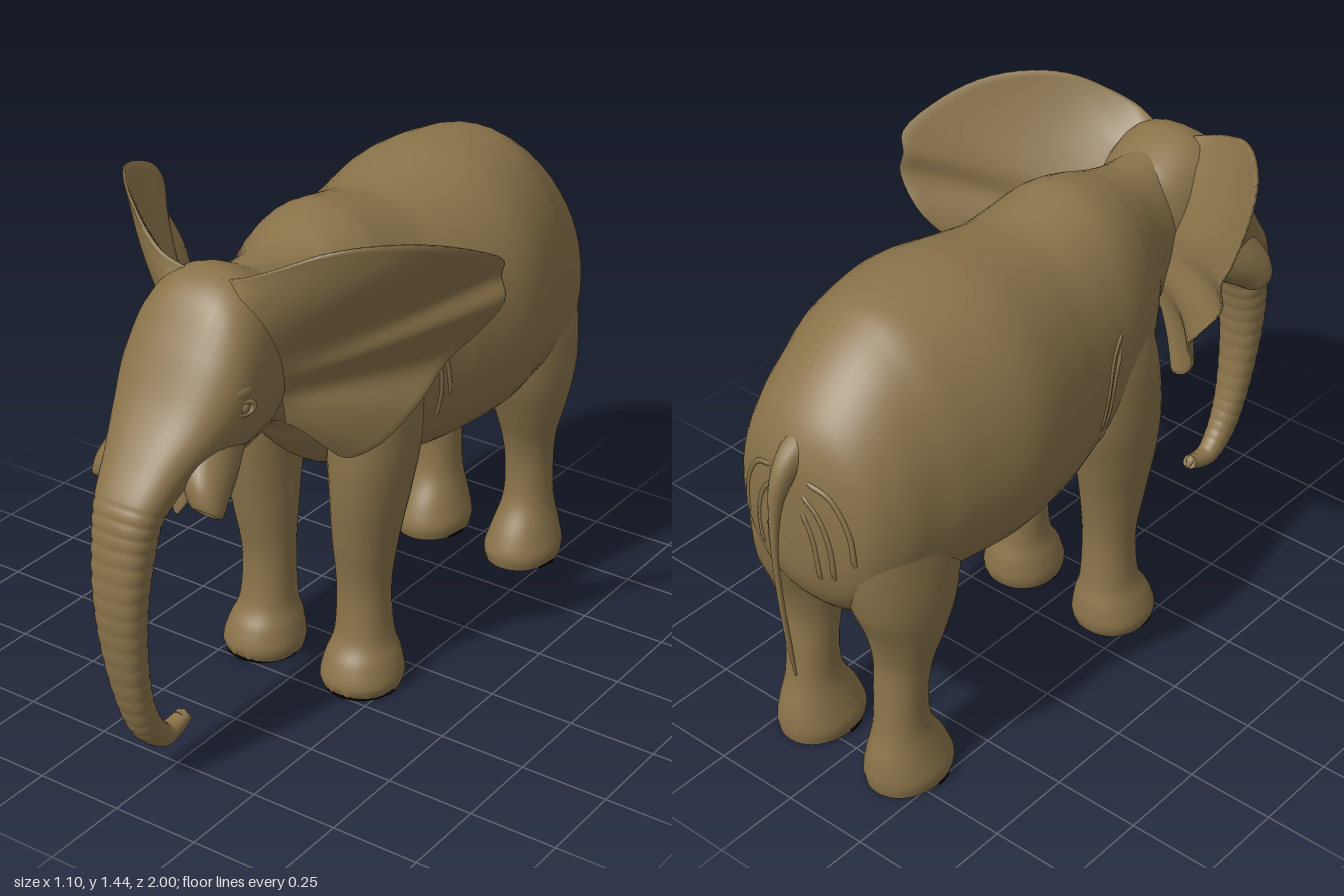
import * as THREE from 'three';

// Section: [frontZ, frontY, backZ, backY, halfWidth, centreX]; an oval ring spans both points.
function loft(sections, { steps = 64, sides = 32, power = 2, sag = 0, ripple = () => 1 } = {}) {
  const pos = [], idx = [];
  const sample = t => {
    const f = t * (sections.length - 1), i = Math.min(Math.floor(f), sections.length - 2), u = f - i;
    const at = k => sections[Math.max(0, Math.min(sections.length - 1, k))];
    const [p, a, b, n] = [at(i - 1), at(i), at(i + 1), at(i + 2)];
    return [0, 1, 2, 3, 4, 5].map(k => {
      const [w, x, y, z] = [p, a, b, n].map(s => s[k] || 0);
      return x + 0.5 * u * (y - w + u * (2 * w - 5 * x + 4 * y - z + u * (3 * (x - y) + z - w)));
    });
  };
  const round = v => Math.sign(v) * Math.pow(Math.abs(v), 2 / power);
  for (let r = 0; r <= steps; r++) {
    const [az, ay, bz, by, w, cx] = sample(r / steps), s = ripple(r / steps);
    for (let j = 0; j < sides; j++) {
      const a = j / sides * Math.PI * 2, c = round(Math.cos(a)) * s, q = round(Math.sin(a)) * s;
      pos.push(cx + w * q * (1 - sag * c), (ay + by) / 2 + (ay - by) / 2 * c, (az + bz) / 2 + (az - bz) / 2 * c);
    }
  }
  // Ring direction decides the corner order
  const m = sample(0.5), d = sample(0.52);
  const dy = d[1] + d[3] - m[1] - m[3], dz = d[0] + d[2] - m[0] - m[2];
  const flip = (m[0] - m[2]) * dy - (m[1] - m[3]) * dz < 0;
  const tri = (a, b, c) => flip ? idx.push(a, c, b) : idx.push(a, b, c);
  for (let r = 0; r < steps; r++) for (let j = 0; j < sides; j++) {
    const k = (j + 1) % sides, a = r * sides + j, b = r * sides + k;
    tri(a, b, b + sides); tri(a, b + sides, a + sides);
  }
  // End caps with their own corners, for a crisp edge
  for (const r of [0, steps]) {
    const base = pos.length / 3, [az, ay, bz, by, , cx] = sample(r / steps);
    for (let j = 0; j < sides; j++) pos.push(...pos.slice((r * sides + j) * 3, (r * sides + j) * 3 + 3));
    pos.push(cx, (ay + by) / 2, (az + bz) / 2);
    for (let j = 0; j < sides; j++) {
      const a = base + j, b = base + (j + 1) % sides;
      r ? tri(a, b, base + sides) : tri(b, a, base + sides);
    }
  }
  return finish(pos, idx);
}

function finish(pos, idx) {
  const g = new THREE.BufferGeometry();
  g.setAttribute('position', new THREE.Float32BufferAttribute(pos, 3));
  g.setIndex(idx);
  g.computeVertexNormals();
  return g;
}

const curve = pts => new THREE.CatmullRomCurve3(pts.map(p => new THREE.Vector3(...p)));

// Ear: front and back sheets between the root line and the rim, thick where it joins the crown
function earGeometry(side) {
  const root = curve([[.04, 1.26, .56], [.1, 1.2, .53], [.12, 1.08, .47], [.12, .98, .42], [.12, .9, .41]]);
  const rim = curve([[.05, 1.325, .57], [.13, 1.355, .58], [.21, 1.39, .55], [.29, 1.425, .5], [.37, 1.44, .43],
    [.46, 1.43, .32], [.52, 1.39, .2], [.55, 1.33, .09], [.535, 1.28, .075], [.545, 1.22, .07], [.48, 1.12, .07],
    [.41, 1.03, .12], [.37, .92, .2], [.29, .81, .27], [.22, .78, .31], [.18, .86, .37]]);
  const nu = 18, nv = 56, pos = [], idx = [];
  for (const face of [1, -1]) for (let i = 0; i <= nv; i++) for (let j = 0; j <= nu; j++) {
    const v = i / nv, u = j / nu, p = root.getPoint(v).lerp(rim.getPoint(v), u);
    const bulge = .022 * Math.sin(Math.PI * u) * Math.sin(Math.PI * v);
    const wave = .01 * u * (1 - u) * Math.sin(v * 24) * Math.sin(Math.PI * v);
    const thick = face * (.004 + .018 * (1 - u) + .045 * (1 - v) * (1 - u) ** 2);
    pos.push(side * (p.x + thick * .4 + bulge * .5), p.y, p.z + bulge + wave + thick);
  }
  const row = nu + 1, sheet = row * (nv + 1);
  const quad = (a, b, c, d, f) => f > 0 ? idx.push(a, b, c, a, c, d) : idx.push(a, c, b, a, d, c);
  for (let i = 0; i < nv; i++) {
    for (let j = 0; j < nu; j++) {
      const a = i * row + j;
      quad(a, a + row, a + row + 1, a + 1, side);
      quad(a + sheet, a + sheet + row, a + sheet + row + 1, a + sheet + 1, -side);
    }
    const e = i * row + nu;
    quad(e, e + row, e + row + sheet, e + sheet, side);
  }
  for (let j = 0; j < nu; j++) {
    const e = nv * row + j;
    quad(j, j + 1, j + 1 + sheet, j + sheet, -side);
    quad(e, e + 1, e + 1 + sheet, e + sheet, side);
  }
  return finish(pos, idx);
}

export function createModel() {
  const model = new THREE.Group();
  model.name = 'elephant';
  const hide = new THREE.MeshStandardMaterial({ color: 0x8a734a, side: THREE.DoubleSide });
  hide.name = 'brown hide';
  const black = new THREE.MeshStandardMaterial({ color: 0x060504 });
  black.name = 'black sole';
  const add = (name, geometry, material = hide) => {
    const mesh = new THREE.Mesh(geometry, material);
    mesh.name = name;
    model.add(mesh);
    return mesh;
  };

  // Body: z, top, bottom, half width
  const body = add('body', loft([
    [-.935, 1.02, .82, .04], [-.922, 1.08, .7, .12], [-.88, 1.16, .61, .215], [-.8, 1.245, .54, .265],
    [-.7, 1.32, .53, .29], [-.6, 1.362, .545, .32], [-.4, 1.375, .55, .362], [-.2, 1.345, .555, .33],
    [-.1, 1.335, .57, .305], [0, 1.35, .6, .285], [.1, 1.365, .62, .272], [.19, 1.35, .66, .245],
    [.27, 1.325, .74, .2], [.36, 1.31, .84, .15], [.5, 1.315, .88, .13],
  ].map(([z, t, b, w]) => [z, t, z, b, w]), { steps: 90, sides: 48, power: 2.1, sag: .06 }));

  // Head flowing into the ringed trunk
  add('headAndTrunk', loft([
    [.36, 1.26, .42, .9, .1], [.44, 1.31, .45, .87, .15], [.55, 1.345, .51, .86, .172], [.64, 1.31, .56, .86, .182],
    [.72, 1.2, .62, .87, .182], [.8, 1.065, .69, .88, .155], [.885, .955, .77, .85, .118], [.96, .85, .835, .79, .094],
    [.988, .74, .86, .71, .083], [1, .6, .885, .59, .073], [.988, .45, .89, .45, .062], [.955, .29, .872, .31, .05],
    [.905, .165, .84, .215, .041], [.83, .095, .795, .15, .033], [.765, .092, .765, .142, .028],
    [.705, .115, .725, .15, .022],
  ], {
    steps: 260, sides: 36, power: 2.4, sag: -.07,
    ripple: t => t > .46 && t < .88 ? 1 - .035 * Math.pow(Math.abs(Math.cos((t - .46) * 140)), 6) : 1,
  }));
  add('trunkTip', loft([[.74, .15, .74, .11, .02], [.715, .147, .72, .122, .014], [.7, .122, .705, .112, .005]], { steps: 10, sides: 12 }));

  // Lower jaw with its pointed lip
  add('lowerJaw', loft([
    [.5, 1.0, .46, .87, .12], [.6, .96, .57, .845, .115], [.67, .89, .645, .81, .08],
    [.71, .825, .695, .765, .045], [.72, .765, .72, .73, .012],
  ], { steps: 30, sides: 20 }));

  // Feet and legs: y, front z, back z, half width, centre x
  const foreleg = [
    [0, .25, .03, .105, .166], [.035, .262, .02, .112, .167], [.09, .245, .025, .1, .165], [.16, .21, .042, .079, .162],
    [.3, .2, .05, .074, .16], [.45, .225, .03, .086, .167], [.6, .248, -.005, .1, .178], [.75, .255, -.04, .112, .18],
    [.95, .235, -.05, .105, .17], [1.14, .17, -.01, .05, .15],
  ];
  const hindLeg = [
    [0, -.59, -.84, .102, .16], [.04, -.583, -.845, .108, .16], [.1, -.605, -.838, .093, .16], [.19, -.652, -.815, .072, .16],
    [.3, -.66, -.805, .07, .16], [.4, -.64, -.802, .078, .162], [.5, -.6, -.825, .1, .166], [.62, -.555, -.87, .12, .164],
    [.78, -.535, -.893, .125, .15], [.95, -.56, -.88, .115, .13], [1.14, -.63, -.82, .06, .11],
  ];
  const legSections = (rows, side) => rows.map(([y, f, b, w, x]) => [f, y, b, y, w, x * side]);
  const rearLegs = {};

  for (const [side, label] of [[1, 'left'], [-1, 'right']]) {
    add(label + 'Foreleg', loft(legSections(foreleg, side), { power: 2.15 }));
    rearLegs[side] = add(label + 'HindLeg', loft(legSections(hindLeg, side), { power: 2.1 }));
    add(label + 'Ear', earGeometry(side));

    // Cheek with its hollow tusk socket beside the trunk
    add(label + 'TuskSocket', loft([
      [.73, 1.03, .55, .92, .07, .07], [.78, .965, .64, .86, .076, .1], [.82, .905, .715, .815, .062, .132],
      [.83, .855, .755, .79, .046, .152], [.82, .832, .778, .797, .03, .157], [.79, .85, .755, .825, .02, .15],
    ].map(s => [...s.slice(0, 5), s[5] * side]), { steps: 36, sides: 20 }));

    // Eye, lids and brow
    const eye = add(label + 'Eye', new THREE.SphereGeometry(.02, 16, 12));
    eye.position.set(side * .17, 1.055, .665);
    const lid = add(label + 'Eyelid', new THREE.TorusGeometry(.023, .008, 8, 24));
    lid.position.set(side * .179, 1.055, .667);
    lid.rotation.set(0, side * 1.2, 0);
    lid.scale.set(1.15, .75, 1);
    const brow = add(label + 'Brow', new THREE.SphereGeometry(1, 20, 14));
    brow.position.set(side * .148, 1.095, .655);
    brow.scale.set(.04, .03, .06);

    // Dark front half of each sole, and toenails
    for (const [name, z, x] of [['Fore', .141, .167], ['Hind', -.714, .16]]) {
      const sole = add(label + name + 'Sole', new THREE.CylinderGeometry(1, 1, .008, 24, 1, false, -Math.PI / 2, Math.PI), black);
      sole.position.set(side * x, .003, z);
      sole.scale.set(.107, 1, .114);
      for (let i = 0; i < 4; i++) {
        const a = (i - 1.5) * .5;
        const nail = add(label + name + 'Toenail', new THREE.SphereGeometry(1, 12, 8));
        nail.position.set(side * x + Math.sin(a) * .105, .03, z + Math.cos(a) * .114);
        nail.scale.set(.02, .024, .008);
        nail.rotation.y = a;
      }
    }
  }

  // Tail
  add('tail', loft([
    [-.85, 1.15, -.84, 1.03, .05], [-.94, 1.09, -.91, 1.01, .035], [-.985, 1.02, -.945, .97, .024],
    [-.999, .93, -.968, .91, .015], [-1, .8, -.982, .8, .009], [-.99, .65, -.974, .65, .008],
    [-.972, .5, -.957, .5, .007], [-.953, .39, -.946, .39, .003],
  ], { steps: 50, sides: 14 }));

  // Skin folds laid over the shoulder as [z, y] lines, and over the rump as [x, y] lines
  const shoulder = [[[.03, 1.07], [-.03, 1.01], [-.06, .92], [-.09, .8]], [[.01, 1.03], [-.03, .94], [-.05, .84], [-.06, .74]]];
  const rump = [
    [[.04, .98], [.09, .93], [.12, .84], [.12, .72]], [[.04, .93], [.07, .86], [.08, .78], [.08, .72]],
    [[.05, 1.02], [.12, .99], [.17, .9], [.18, .78]],
  ];
  const ray = new THREE.Raycaster();
  model.updateMatrixWorld(true);
  const fold = (line, toStart, direction) => {
    const points = curve(line.map(([a, y]) => [a, y, 0])).getPoints(10).flatMap(p => {
      ray.set(toStart(p), direction);
      const hit = ray.intersectObjects([body, rearLegs[1]])[0];
      return hit ? [hit.point.addScaledVector(direction, .003)] : [];
    });
    for (const end of [points[0], points[points.length - 1]]) end.addScaledVector(direction, .01);
    for (const side of [1, -1])
      add('skinFold', new THREE.TubeGeometry(curve(points.map(p => [p.x * side, p.y, p.z])), 30, .008, 8));
  };
  for (const line of shoulder) fold(line, p => new THREE.Vector3(2, p.y, p.x), new THREE.Vector3(-1, 0, 0));
  for (const line of rump) fold(line, p => new THREE.Vector3(p.x, p.y, -2), new THREE.Vector3(0, 0, 1));
  return model;
}
